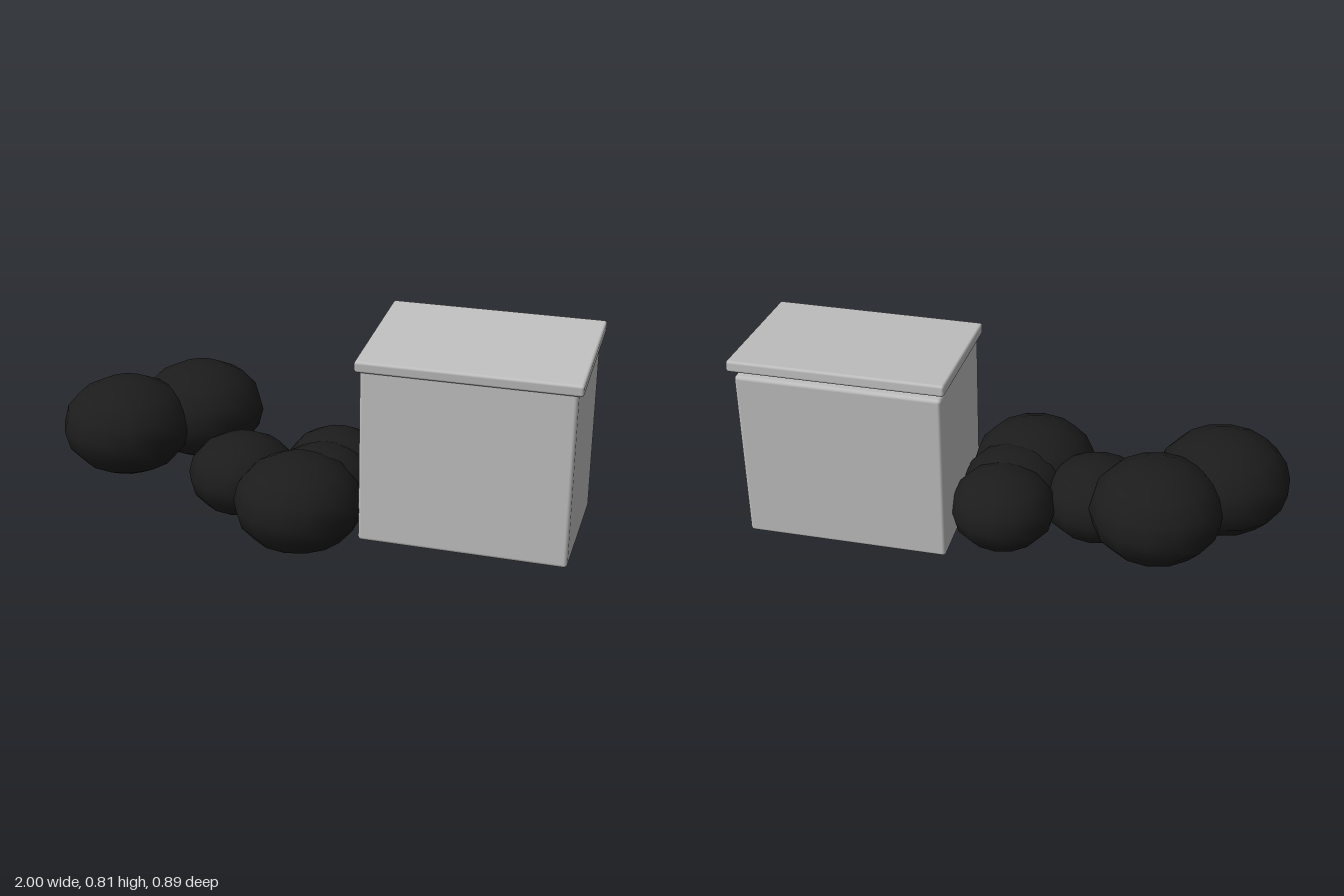
import * as THREE from 'three';
import { RoundedBoxGeometry } from 'three/addons/geometries/RoundedBoxGeometry.js';

export function createModel() {
  const model = new THREE.Group();
  model.name = 'binAndBags';

  const binGrey = new THREE.MeshStandardMaterial({ color: 0xc0c0c0 });
  binGrey.name = 'bin grey';
  const bagBlack = new THREE.MeshStandardMaterial({ color: 0x1c1c1c });
  bagBlack.name = 'bag black';

  function add(parent, name, geometry, material, x, y, z) {
    const mesh = new THREE.Mesh(geometry, material);
    mesh.name = name;
    mesh.position.set(x, y, z);
    parent.add(mesh);
    return mesh;
  }

  // Bin: softly bevelled box with a tilted lid that rises towards the back
  const bin = new THREE.Group();
  bin.name = 'bin';
  model.add(bin);
  add(bin, 'binBody', new RoundedBoxGeometry(0.765, 0.677, 0.53, 2, 0.014), binGrey, 0.597, 0.404, -0.044);
  const lid = add(bin, 'binLid', new RoundedBoxGeometry(0.8, 0.043, 0.563, 2, 0.01), binGrey, 0.598, 0.767, -0.045);
  lid.rotation.x = 0.085;

  // Rubbish bags: squashed low-poly spheres, [x, y, z, radius, half height]
  const bags = new THREE.Group();
  bags.name = 'rubbishBags';
  model.add(bags);
  const bagShape = new THREE.SphereGeometry(1, 14, 8).rotateY(Math.PI / 2);
  [
    [-0.756, 0.332, 0.035, 0.248, 0.185],
    [-0.545, 0.332, -0.204, 0.244, 0.185],
    [-0.292, 0.184, 0.03, 0.207, 0.156],
    [0.03, 0.186, 0.04, 0.2, 0.152],
    [0.04, 0.19, -0.114, 0.2, 0.154],
    [-0.015, 0.182, 0.203, 0.241, 0.181],
  ].forEach(([x, y, z, radius, height], i) => {
    add(bags, `rubbishBag${i + 1}`, bagShape, bagBlack, x, y, z).scale.set(radius, height, radius);
  });

  return model;
}
